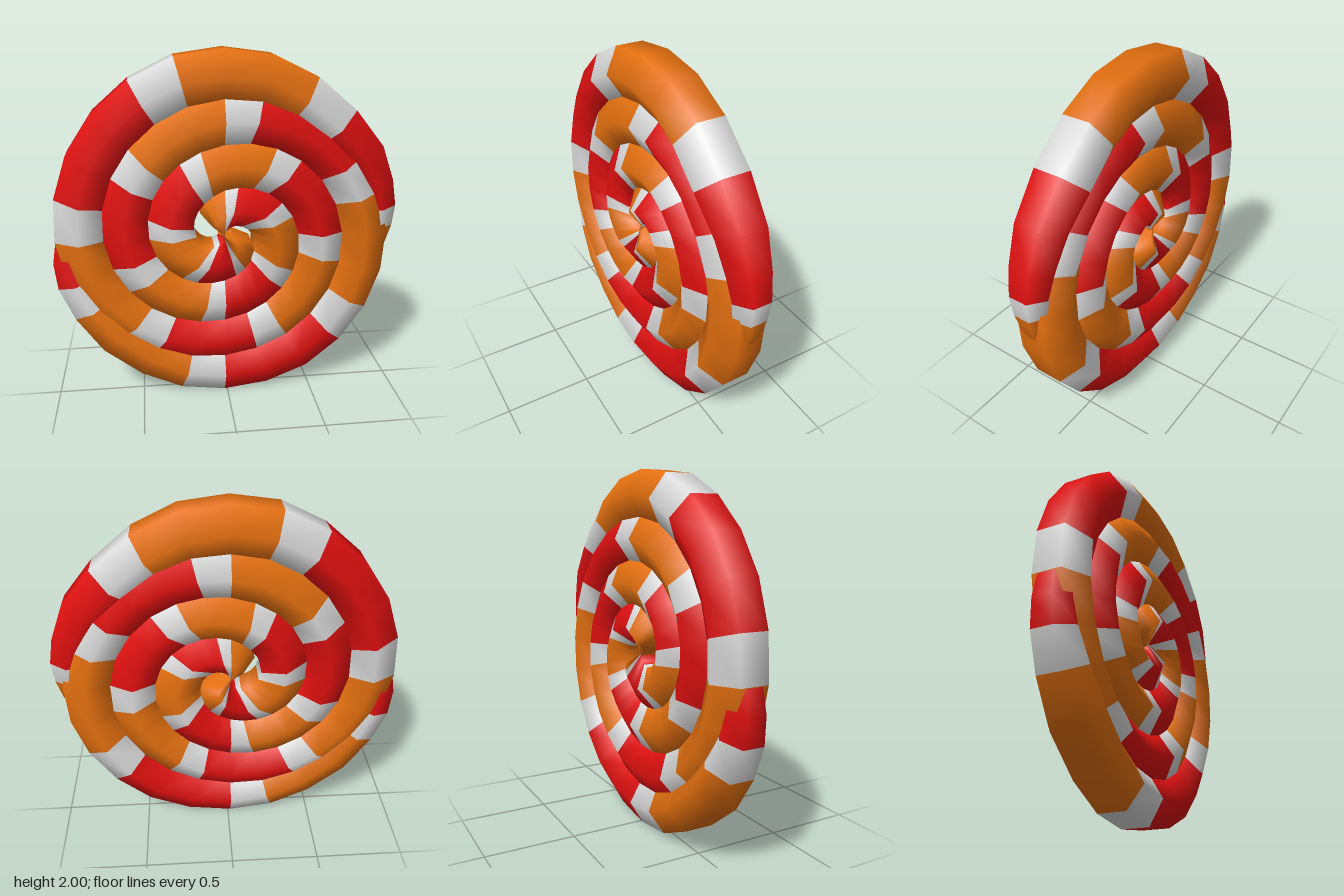
import * as THREE from 'three';

const TUBE = 0.155, SIDES = 6, CX = -0.015, CY = 0.989;
const HALF = TUBE * Math.sin(Math.PI / 3); // radial half width of the hexagonal tube
const rad = THREE.MathUtils.degToRad;

// Stations of the tapering outer tip: angle in degrees and tube scale
const TIP_ANGLES = [-13, -6, 1, 8, 17, 29, 44, 60];
const TIP_SCALES = [0.03, 0.4, 0.6, 0.68, 0.78, 0.9, 1, 1];
// Tube scale over the last stations at the centre of the coil
const CORE_SCALES = [0.96, 0.88, 0.72, 0.03];

// Centre line of the coil: half a tube pitch per quarter turn, a little wider than tall
function coilRadius(deg) {
  return 0.9045 - 0.125 * (deg - 90) / 90 + 0.012 * Math.cos(rad(2 * deg));
}

function makeArm(name, { turn, tipOuter, maxRadius, last, shift }, materials) {
  const positions = [], index = [];
  const geometry = new THREE.BufferGeometry();
  const count = last + 2; // one extra station closes the inner end

  for (let i = 0; i < count; i++) {
    let deg, scale, radius;
    if (i < TIP_ANGLES.length) {
      deg = TIP_ANGLES[i];
      scale = TIP_SCALES[i];
      radius = tipOuter[i] - HALF * scale;
    } else {
      deg = 60 + 15 * (i - 7);
      scale = CORE_SCALES[i - (count - CORE_SCALES.length)] ?? 1;
      radius = Math.min(coilRadius(deg), maxRadius);
    }
    const a = rad(deg + turn);
    for (let k = 0; k < SIDES; k++) {
      const p = k / SIDES * Math.PI * 2;
      const r = radius + TUBE * scale * Math.sin(p);
      positions.push(CX + r * Math.cos(a), CY + r * Math.sin(a), TUBE * scale * Math.cos(p));
    }
  }

  // Stripe pattern over eight segments: white, 3 red, white, 3 orange
  for (let i = 0; i < count - 1; i++) {
    const step = (Math.min(i, last - 1) - shift + 8) % 8;
    const colour = step % 4 === 0 ? 0 : step < 4 ? 1 : 2;
    geometry.addGroup(index.length, SIDES * 6, colour);
    for (let k = 0; k < SIDES; k++) {
      const a = i * SIDES + k, b = i * SIDES + (k + 1) % SIDES;
      index.push(a, b, a + SIDES, b, b + SIDES, a + SIDES);
    }
  }

  geometry.setAttribute('position', new THREE.Float32BufferAttribute(positions, 3));
  geometry.setIndex(index);
  geometry.computeVertexNormals();
  const mesh = new THREE.Mesh(geometry, materials);
  mesh.name = name;
  return mesh;
}

export function createModel() {
  const materials = Object.entries({ white: 0xdadada, red: 0xe01010, orange: 0xe47010 })
    .map(([name, color]) => Object.assign(new THREE.MeshStandardMaterial({ color }), { name }));

  const group = new THREE.Group();
  group.name = 'spiralCandy';

  // Two striped arms wound into each other
  group.add(makeArm('firstCoilArm', {
    turn: 0, maxRadius: 0.875, last: 50, shift: 2,
    tipOuter: [0.92, 0.945, 0.967, 0.987, 0.991, 0.998, 0.985, 0.994],
  }, materials));
  group.add(makeArm('secondCoilArm', {
    turn: 180, maxRadius: 0.855, last: 48, shift: 0,
    tipOuter: [0.88, 0.905, 0.928, 0.957, 0.973, 0.971, 0.977, 0.979],
  }, materials));
  return group;
}
